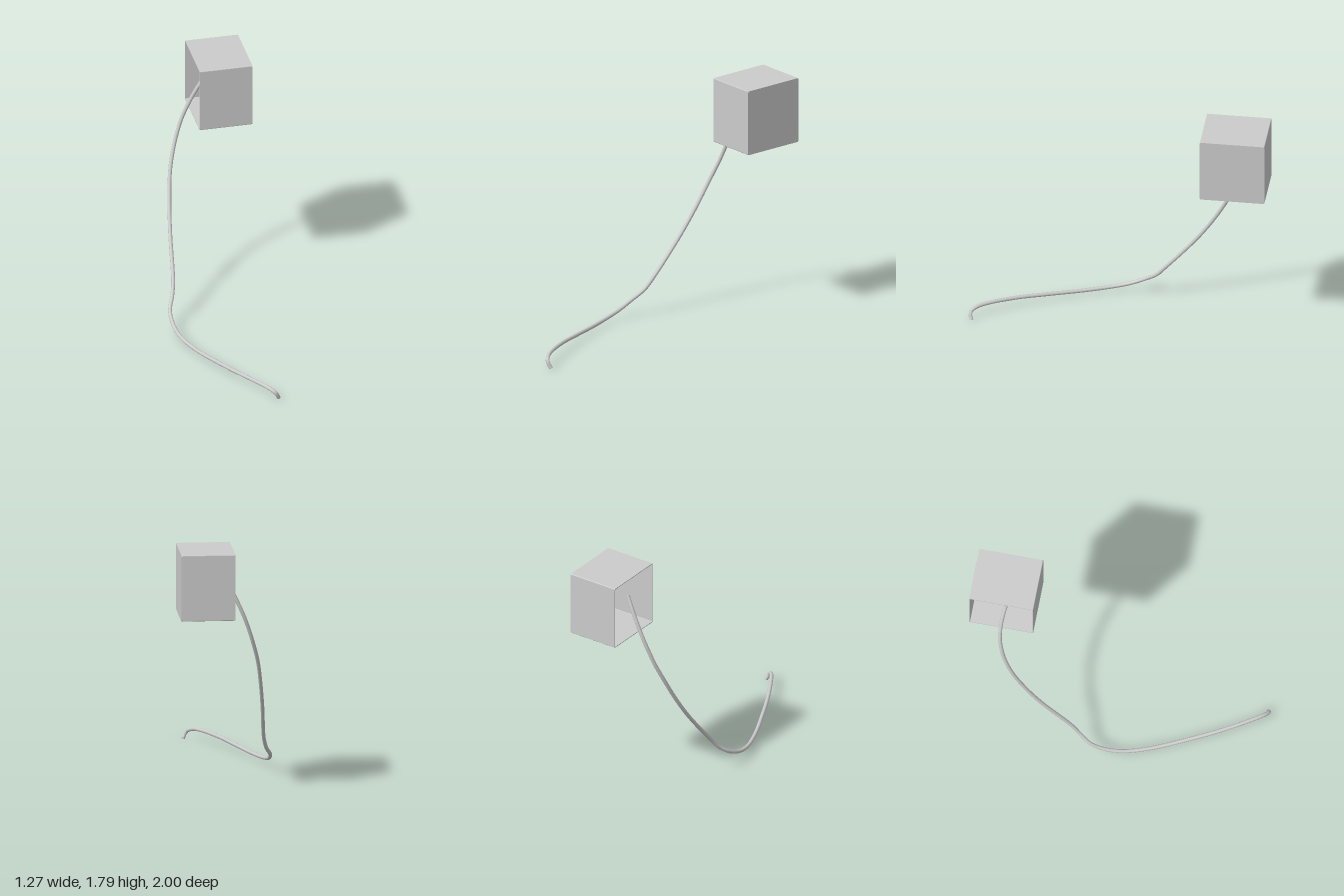
import * as THREE from 'three';

const grey = new THREE.MeshStandardMaterial({ color: 0xcccccc });
const W = 0.47, H = 0.485, D = 0.39, WALL = 0.006, PLATE = 0.012;

function roundedRect(w, h, r, Type = THREE.Shape) {
  const s = new Type(), x = w / 2, y = h / 2;
  s.moveTo(-x + r, -y);
  s.lineTo(x - r, -y).quadraticCurveTo(x, -y, x, -y + r);
  s.lineTo(x, y - r).quadraticCurveTo(x, y, x - r, y);
  s.lineTo(-x + r, y).quadraticCurveTo(-x, y, -x, y - r);
  s.lineTo(-x, -y + r).quadraticCurveTo(-x, -y, -x + r, -y);
  return s;
}

function add(parent, name, geometry, x = 0, y = 0, z = 0) {
  const mesh = new THREE.Mesh(geometry, grey);
  mesh.name = name;
  mesh.position.set(x, y, z);
  parent.add(mesh);
  return mesh;
}

// Housing open at the back, closed by a screwed plate at the front
function createHousing() {
  const housing = new THREE.Group();
  housing.name = 'housing';

  const wall = roundedRect(W, H, 0.006);
  wall.holes.push(roundedRect(W - 2 * WALL, H - 2 * WALL, 0.003, THREE.Path));
  const extrude = (shape, depth) =>
    new THREE.ExtrudeGeometry(shape, { depth, bevelEnabled: false, curveSegments: 3 });
  add(housing, 'shell', extrude(wall, D - PLATE), 0, 0, -D / 2);
  add(housing, 'frontPlate', extrude(roundedRect(W, H, 0.01), PLATE), 0, 0, D / 2 - PLATE);

  // Component fixed to the inside of the plate
  const t = 0.04;
  add(housing, 'innerUnit', new THREE.BoxGeometry(0.18, 0.3, t), 0, 0, D / 2 - PLATE - t / 2);

  // Corner screws
  const screw = new THREE.CylinderGeometry(0.006, 0.006, 0.004, 12).rotateX(Math.PI / 2);
  for (const sx of [-1, 1])
    for (const sy of [-1, 1])
      add(housing, 'screw', screw, sx * (W / 2 - 0.02), sy * (H / 2 - 0.02), D / 2);

  housing.position.set(0.352, 1.557, -0.7);
  housing.rotation.y = 1.073;
  return housing;
}

// Cable running along the ground, then rising into the open back
function createCable() {
  const radius = 0.014, sides = 10;
  const points = [
    [-0.565, 0.012, 0.985], [-0.592, 0.06, 0.985], [-0.61, 0.085, 0.93],
    [-0.62, 0.091, 0.83], [-0.625, 0.081, 0.6], [-0.615, 0.066, 0.4],
    [-0.59, 0.048, 0.1], [-0.555, 0.056, -0.1], [-0.512, 0.083, -0.22],
    [-0.455, 0.135, -0.32], [-0.385, 0.2, -0.375], [-0.335, 0.28, -0.42],
    [-0.2, 0.56, -0.605], [-0.115, 0.76, -0.71], [-0.04, 0.95, -0.785],
    [0.025, 1.1, -0.82], [0.065, 1.2, -0.828], [0.11, 1.31, -0.825],
    [0.175, 1.47, -0.79], [0.23, 1.61, -0.74],
  ].map((p) => new THREE.Vector3(...p));
  const curve = new THREE.CatmullRomCurve3(points);

  const cable = new THREE.Group();
  cable.name = 'cable';
  add(cable, 'cableSheath', new THREE.TubeGeometry(curve, 90, radius, sides));
  // End caps
  for (const [u, dir] of [[0, -1], [1, 1]]) {
    const p = curve.getPointAt(u);
    const cap = add(cable, 'cableEnd', new THREE.CircleGeometry(radius, sides), p.x, p.y, p.z);
    cap.quaternion.setFromUnitVectors(
      new THREE.Vector3(0, 0, 1), curve.getTangentAt(u).multiplyScalar(dir));
  }
  return cable;
}

export function createModel() {
  const model = new THREE.Group();
  model.name = 'boxWithCable';
  model.add(createHousing(), createCable());
  return model;
}
